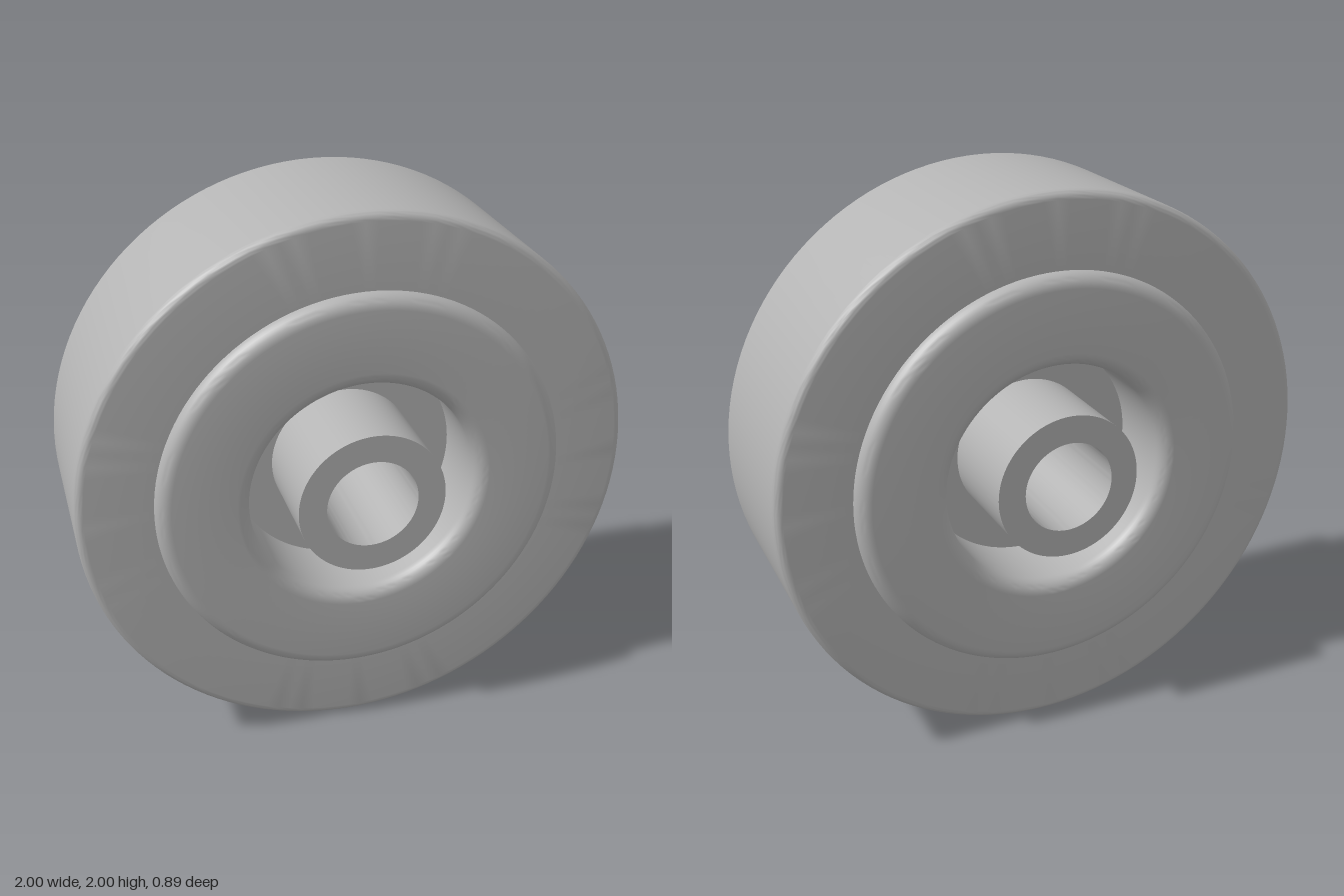
import * as THREE from 'three';
import { toCreasedNormals } from 'three/addons/utils/BufferGeometryUtils.js';

// Quarter-round fillet points in (radius, axial) space
function fillet(r, z, radius, startDeg, endDeg, steps = 8) {
  return Array.from({ length: steps + 1 }, (_, i) => {
    const a = THREE.MathUtils.degToRad(startDeg + ((endDeg - startDeg) * i) / steps);
    return [r + radius * Math.cos(a), z + radius * Math.sin(a)];
  });
}

// Turned part around the z axis, smooth except at sharp corners
function turned(name, profile, material) {
  const points = profile.map(([r, z]) => new THREE.Vector2(r, z));
  const geometry = new THREE.LatheGeometry(points, 128);
  geometry.rotateX(Math.PI / 2);
  const mesh = new THREE.Mesh(toCreasedNormals(geometry, Math.PI / 6), material);
  mesh.name = name;
  return mesh;
}

export function createModel() {
  const grey = new THREE.MeshStandardMaterial({ color: 0xb4b4b4 });
  grey.name = 'grey';

  const wheel = new THREE.Group();
  wheel.name = 'wheel';

  // Tread with softly rounded shoulders
  wheel.add(turned('tread', [
    [0.735, -0.325],
    ...fillet(0.97, -0.295, 0.03, -90, 0),
    ...fillet(0.97, 0.295, 0.03, 0, 90),
    [0.735, 0.325],
  ], grey));

  // Raised hub ring with rounded rims and a deep recess, on both sides
  const hubProfile = [
    ...fillet(0.685, 0.325, 0.05, 0, 90),
    ...fillet(0.46, 0.325, 0.05, 90, 180),
    [0.41, 0.08],
    [0.265, 0.08],
  ];
  const frontHub = turned('frontHub', hubProfile, grey);
  const backHub = turned('backHub', hubProfile, grey);
  backHub.rotation.y = Math.PI;
  wheel.add(frontHub, backHub);

  // Axle sleeve with a through bore
  wheel.add(turned('axleSleeve', [
    [0.265, -0.445],
    [0.265, 0.445],
    [0.165, 0.445],
    [0.165, -0.445],
    [0.265, -0.445],
  ], grey));

  wheel.position.y = 1;
  const model = new THREE.Group();
  model.name = 'casterWheel';
  model.add(wheel);
  return model;
}
